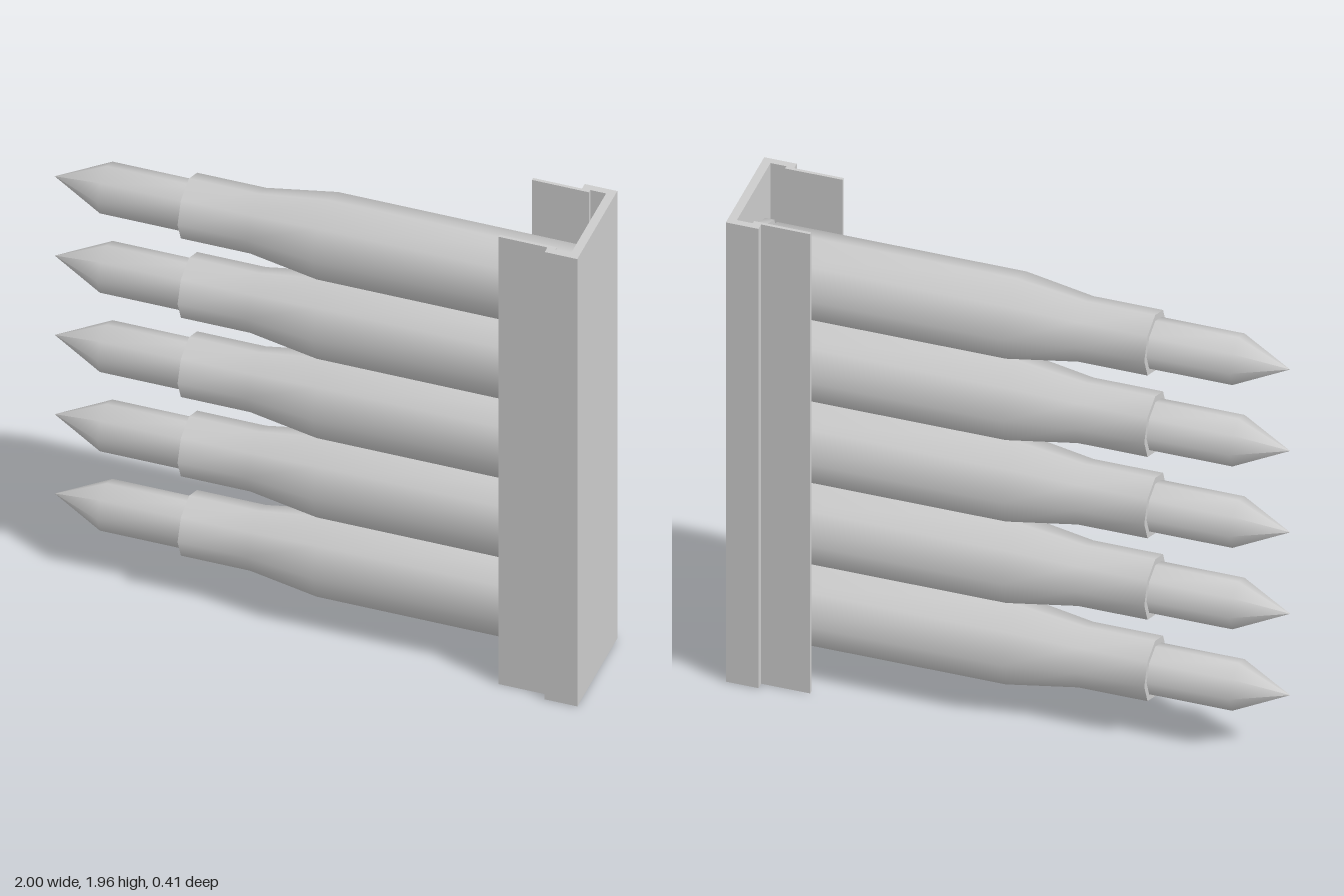
import * as THREE from 'three';
import { toCreasedNormals } from 'three/addons/utils/BufferGeometryUtils.js';

const SIDES = 8;
const material = new THREE.MeshStandardMaterial({ color: 0xcccccc });

// Turned part lying along x; points are [x, radius] from tip to base
function turned(name, points) {
  const profile = points.map(([x, r]) => new THREE.Vector2(r, x));
  const geometry = new THREE.LatheGeometry(profile, SIDES).rotateZ(-Math.PI / 2);
  const mesh = new THREE.Mesh(toCreasedNormals(geometry, THREE.MathUtils.degToRad(50)), material);
  mesh.name = name;
  return mesh;
}

function createCartridge() {
  const cartridge = new THREE.Group();
  cartridge.name = 'cartridge';
  // Pointed bullet, seated in the neck
  cartridge.add(turned('bullet', [[-1, 0], [-0.81, 0.093], [-0.45, 0.093]]));
  // Case: neck, shoulder, body, extractor groove and rim
  cartridge.add(turned('case', [
    [-0.505, 0], [-0.505, 0.118], [-0.25, 0.118], [0.005, 0.157],
    [0.92, 0.157], [0.925, 0.14], [0.932, 0.14], [0.932, 0.163],
    [0.965, 0.163], [0.965, 0],
  ]));
  return cartridge;
}

// Clip: channel section with stepped-in lips and thin guide flanges
function createClip(height) {
  const half = [
    [1, 0.206], [0.88, 0.206], [0.88, 0.178], [0.7, 0.178],
    [0.7, 0.166], [0.91, 0.166], [0.91, 0.18], [0.968, 0.18],
  ];
  const mirrored = half.map(([x, z]) => [x, -z]).reverse();
  const shape = new THREE.Shape([...half, ...mirrored].map(([x, z]) => new THREE.Vector2(x, z)));
  const geometry = new THREE.ExtrudeGeometry(shape, { depth: height, bevelEnabled: false });
  geometry.rotateX(-Math.PI / 2);
  const clip = new THREE.Mesh(geometry, material);
  clip.name = 'clip';
  return clip;
}

export function createModel() {
  const model = new THREE.Group();
  model.name = 'loadedClip';
  model.add(createClip(1.957));
  // Five cartridges stacked in the clip
  for (let i = 0; i < 5; i++) {
    const cartridge = createCartridge();
    cartridge.position.y = 0.265 + i * 0.347;
    model.add(cartridge);
  }
  return model;
}
